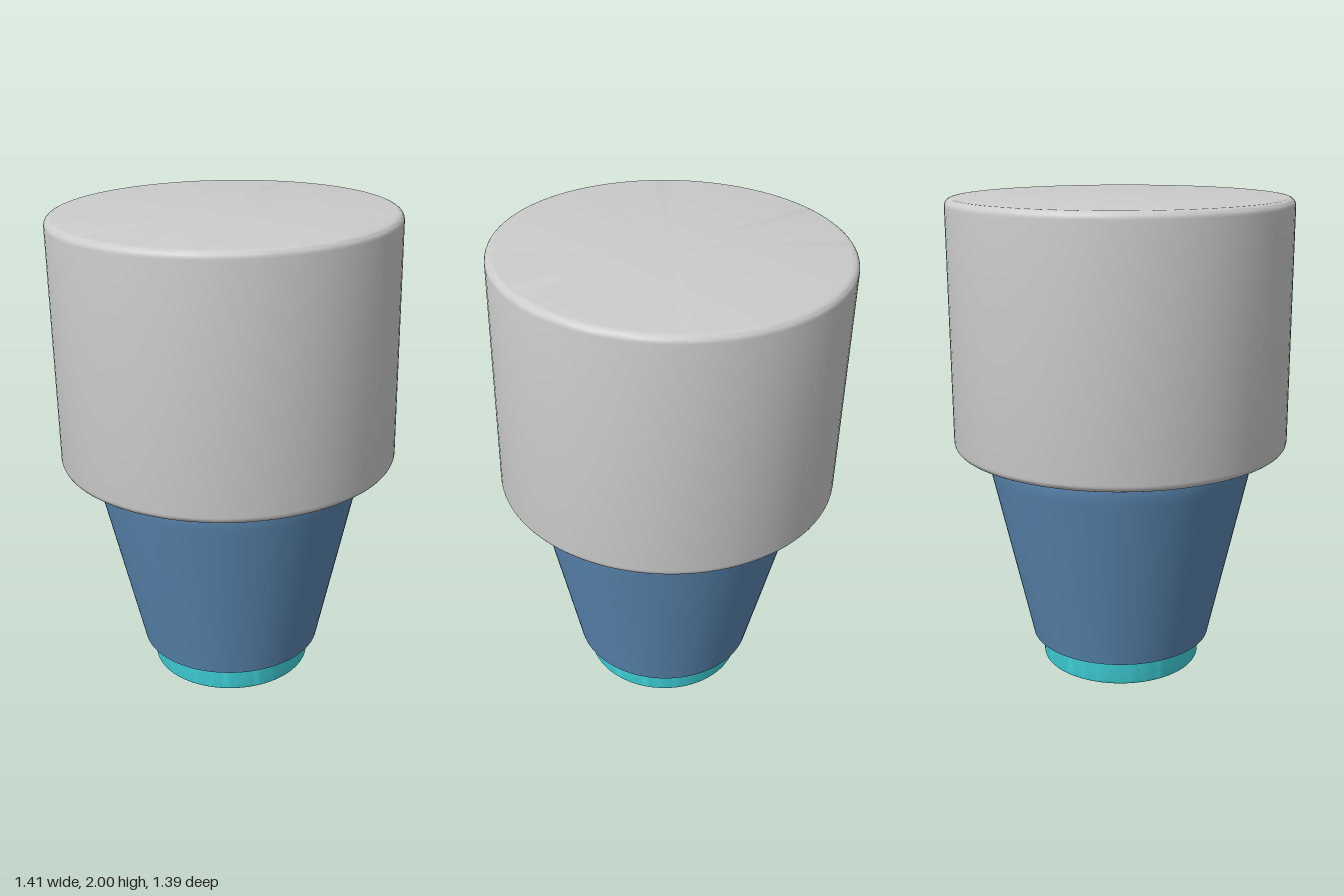
import * as THREE from 'three';
import { toCreasedNormals } from 'three/addons/utils/BufferGeometryUtils.js';

const SEGMENTS = 96;

// Revolve a profile (bottom to top on the outside) into a named mesh
function turned(name, points, color) {
  const geometry = new THREE.LatheGeometry(points.map(([r, y]) => new THREE.Vector2(r, y)), SEGMENTS);
  const mesh = new THREE.Mesh(
    toCreasedNormals(geometry, 0.6),
    new THREE.MeshStandardMaterial({ color })
  );
  mesh.name = name;
  return mesh;
}

// Profile of a solid disc with rounded rims
function roundedDisc(radius, bottom, top, fillet) {
  const points = [[0, bottom]];
  const arc = (cy, start) => {
    for (let i = 0; i <= 6; i++) {
      const a = start + (i / 6) * Math.PI / 2;
      points.push([radius - fillet + fillet * Math.cos(a), cy + fillet * Math.sin(a)]);
    }
  };
  arc(bottom + fillet, -Math.PI / 2);
  arc(top - fillet, 0);
  points.push([0, top]);
  return points;
}

export function createModel() {
  const model = new THREE.Group();
  model.name = 'pushButton';

  // Wide cap with softened rims
  model.add(turned('cap', roundedDisc(0.694, 0.972, 1.986, 0.03), 0xcccccc));

  // Tapered hollow body, with a short straight collar under the cap
  model.add(turned('body', [
    [0.34, 0.3], [0.368, 0.122], [0.382, 0.122],
    [0.548, 0.87], [0.554, 0.9], [0.556, 0.93], [0.554, 0.98], [0, 0.98],
  ], 0x5b88b3));

  // Plug seated inside the open lower end
  model.add(turned('plug', roundedDisc(0.337, 0.008, 0.32, 0.012), 0x40d8e0));

  // The whole stack leans slightly
  model.rotation.z = 0.0215;
  model.position.x = 0.03;

  const root = new THREE.Group();
  root.add(model);
  return root;
}
